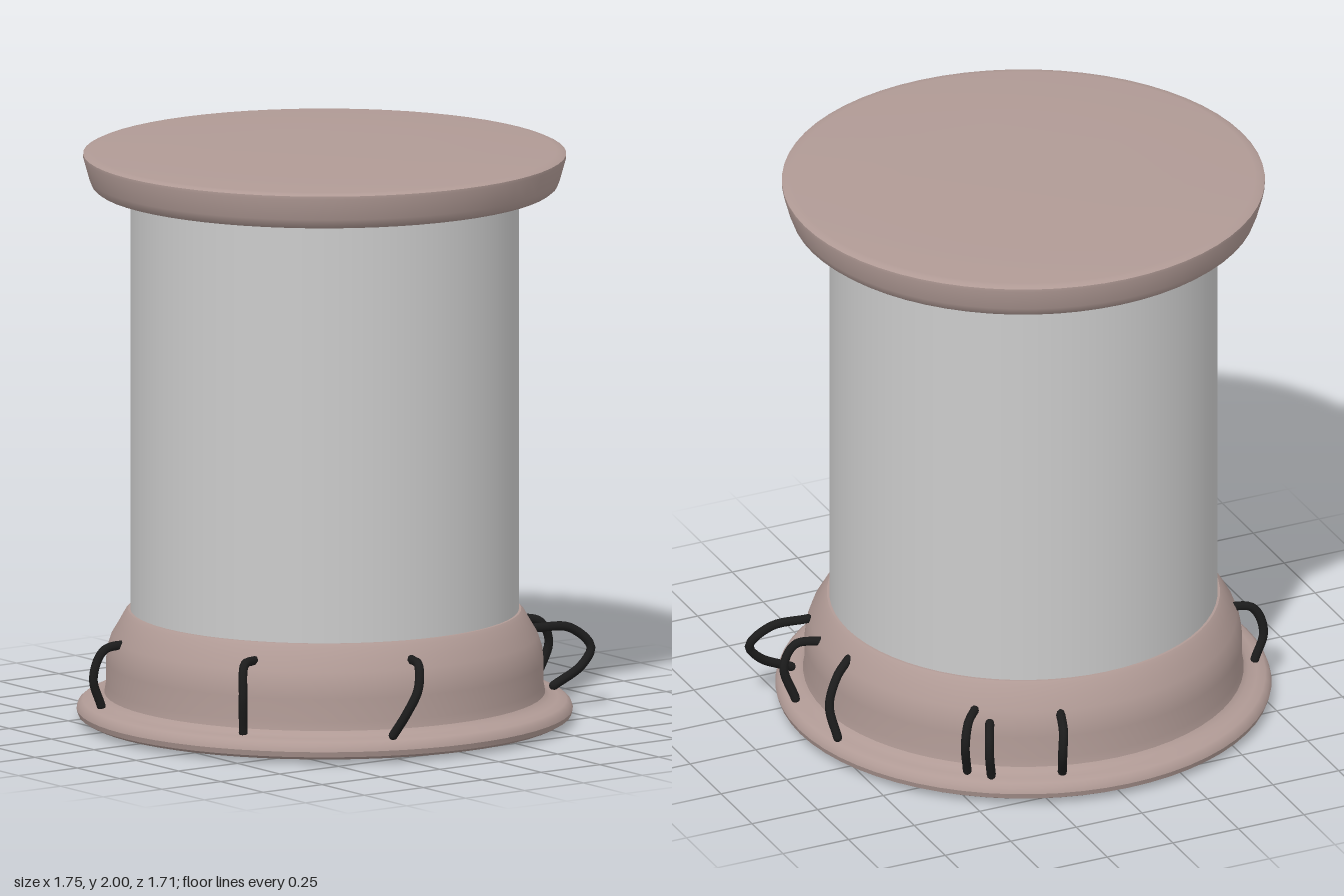
import * as THREE from 'three';
import { toCreasedNormals } from 'three/addons/utils/BufferGeometryUtils.js';

const brown = new THREE.MeshStandardMaterial({ color: 0xb09a95 });
const grey = new THREE.MeshStandardMaterial({ color: 0xcccccc });
const black = new THREE.MeshStandardMaterial({ color: 0x1c1c1c });

const AXIS_X = -0.02;

function addMesh(parent, name, geometry, material) {
  const mesh = new THREE.Mesh(geometry, material);
  mesh.name = name;
  parent.add(mesh);
  return mesh;
}

// Turned part from [radius, height] pairs, listed bottom to top
function turned(profile) {
  const points = profile.map(([r, y]) => new THREE.Vector2(r, y));
  return toCreasedNormals(new THREE.LatheGeometry(points, 64), 0.6);
}

// Bent wire with rounded ends, through [x, y, z] points
function addWire(parent, name, path, radius = 0.016) {
  const points = path.map((p) => new THREE.Vector3(...p));
  const wire = new THREE.Group();
  wire.name = name;
  const curve = new THREE.CatmullRomCurve3(points, false, 'centripetal');
  addMesh(wire, 'wireStrand', new THREE.TubeGeometry(curve, 24, radius, 8), black);
  for (const end of [points[0], points[points.length - 1]]) {
    addMesh(wire, 'wireEnd', new THREE.SphereGeometry(radius, 8, 6), black).position.copy(end);
  }
  parent.add(wire);
}

export function createModel() {
  const model = new THREE.Group();
  model.name = 'capsule';

  const body = new THREE.Group();
  body.name = 'body';
  body.position.x = AXIS_X;
  model.add(body);

  // Foot: rounded flange, straight neck and sloping shoulder
  addMesh(body, 'base', turned([
    [0, 0], [0.42, 0.003], [0.78, 0.01], [0.83, 0.013], [0.85, 0.024], [0.856, 0.043],
    [0.85, 0.062], [0.835, 0.074], [0.805, 0.081], [0.775, 0.086], [0.76, 0.1],
    [0.755, 0.13], [0.755, 0.21], [0.75, 0.255], [0.735, 0.3], [0.71, 0.342],
    [0.69, 0.378], [0.678, 0.39], [0.64, 0.393], [0, 0.393],
  ]), brown);

  // Plain cylinder between base and lid
  const glass = addMesh(body, 'cylinder', new THREE.CylinderGeometry(0.67, 0.67, 1.5, 64), grey);
  glass.position.y = 1.13;

  // Flared lid with a faintly domed top
  addMesh(body, 'lid', turned([
    [0, 1.863], [0.77, 1.865], [0.79, 1.867], [0.803, 1.877], [0.812, 1.9],
    [0.833, 1.975], [0.833, 1.986], [0.82, 1.992], [0.8, 1.994], [0.42, 1.998], [0, 2],
  ]), brown);

  // Loose wires hooked from the shoulder down to the flange
  const wires = new THREE.Group();
  wires.name = 'wires';
  model.add(wires);
  [
    [[0.66, 0.295, 0.3], [0.79, 0.285, 0.32], [0.862, 0.215, 0.345], [0.82, 0.155, 0.35], [0.7, 0.095, 0.35]],
    [[0.69, 0.3, 0.12], [0.775, 0.285, 0.16], [0.82, 0.21, 0.155], [0.785, 0.09, 0.135]],
    [[0.69, 0.325, -0.09], [0.755, 0.29, -0.135], [0.795, 0.2, -0.16], [0.78, 0.09, -0.195]],
    [[0.44, 0.3, -0.58], [0.495, 0.29, -0.645], [0.515, 0.22, -0.665], [0.49, 0.1, -0.627]],
    [[0.41, 0.27, -0.64], [0.44, 0.235, -0.7], [0.445, 0.18, -0.713], [0.43, 0.1, -0.695]],
    [[0.17, 0.29, -0.7], [0.2, 0.26, -0.79], [0.21, 0.18, -0.805], [0.19, 0.09, -0.76]],
    [[-0.66, 0.3, -0.24], [-0.77, 0.285, -0.26], [-0.808, 0.19, -0.27], [-0.775, 0.09, -0.27]],
    [[-0.605, 0.33, 0.4], [-0.67, 0.325, 0.43], [-0.69, 0.22, 0.45], [-0.675, 0.09, 0.43]],
    [[-0.155, 0.33, 0.7], [-0.195, 0.325, 0.8], [-0.22, 0.25, 0.83], [-0.26, 0.17, 0.82], [-0.29, 0.09, 0.78]],
  ].forEach((path, i) => addWire(wires, `wire${i + 1}`, path));

  return model;
}
